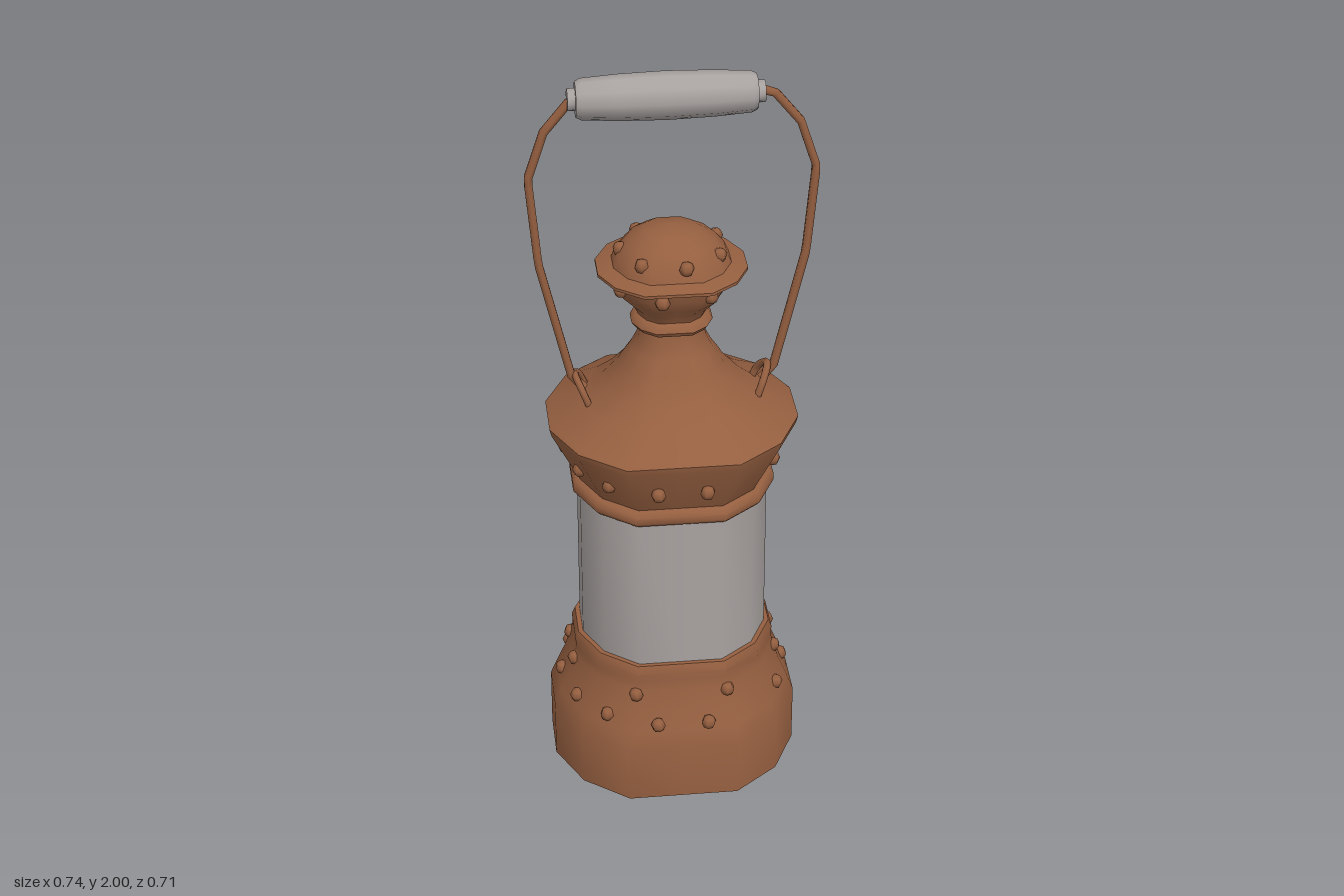
import * as THREE from 'three';
import { toCreasedNormals } from 'three/addons/utils/BufferGeometryUtils.js';

const SIDES = 14;
const STEP = (Math.PI * 2) / SIDES;
const V = (x, y, z) => new THREE.Vector3(x, y, z);

export function createModel() {
  const copper = new THREE.MeshStandardMaterial({ color: 0x955f40 });
  copper.name = 'copper';
  const grey = new THREE.MeshStandardMaterial({ color: 0xa8a2a0 });
  grey.name = 'pale grey';

  const model = new THREE.Group();
  model.name = 'lantern';
  // the lantern stands slightly turned
  const turned = new THREE.Group();
  turned.name = 'turnedLantern';
  turned.rotation.y = 0.18;
  turned.position.set(-0.004, 0, 0.03);
  model.add(turned);

  function add(name, geo, mat, parent = turned) {
    const mesh = new THREE.Mesh(geo, mat);
    mesh.name = name;
    parent.add(mesh);
    return mesh;
  }

  // lathe with a broad flat front and back: the middle corner is drawn in to the chord
  function body(name, profile, mat) {
    const geo = new THREE.LatheGeometry(profile.map(p => new THREE.Vector2(p[0], p[1])), SIDES);
    const pos = geo.attributes.position;
    for (let i = 0; i < pos.count; i++) {
      const column = Math.floor(i / profile.length) % (SIDES / 2);
      if (column === 0) pos.setZ(i, pos.getZ(i) * Math.cos(STEP));
    }
    return add(name, toCreasedNormals(geo, 0.75), mat);
  }

  body('base', [[0, 0], [0.34, 0], [0.34, 0.165], [0.322, 0.21], [0.298, 0.265], [0.281, 0.32],
    [0.275, 0.345], [0.277, 0.37], [0.268, 0.392], [0.24, 0.392]], copper);
  body('glass', [[0.255, 0.38], [0.255, 0.85]], grey);
  body('glassCollar', [[0.245, 0.835], [0.265, 0.835], [0.274, 0.845], [0.274, 0.862],
    [0.265, 0.875], [0.25, 0.88]], copper);
  body('hood', [[0.25, 0.87], [0.258, 0.885], [0.33, 1.025], [0.335, 1.045], [0.325, 1.052],
    [0.235, 1.1], [0.185, 1.14], [0.14, 1.19], [0.132, 1.205], [0.108, 1.24], [0.09, 1.275],
    [0.085, 1.31]], copper);
  body('neckRing', [[0.08, 1.305], [0.1, 1.31], [0.108, 1.322], [0.1, 1.338], [0.085, 1.345]], copper);
  body('chimney', [[0.085, 1.335], [0.1, 1.365], [0.13, 1.395], [0.15, 1.43], [0.16, 1.462],
    [0.197, 1.468], [0.197, 1.476], [0.155, 1.487], [0.143, 1.515], [0.115, 1.548],
    [0.07, 1.575], [0, 1.587]], copper);

  // rivets, given by angle in degrees from the front
  const rivet = new THREE.SphereGeometry(0.02, 6, 4);
  function rivets(name, angles, radius, y) {
    const row = new THREE.Group();
    row.name = name;
    for (const a of angles) {
      const t = THREE.MathUtils.degToRad(a);
      const m = add('rivet', rivet, copper, row);
      m.position.set(radius * Math.sin(t), y, radius * Math.cos(t));
      m.rotation.y = t;
    }
    turned.add(row);
  }
  const faces = [13, -13, -41, 64, -64, 90, -90, 116, -116, 139, 167, -167];
  const corners = [26, 77, 103, 154].flatMap(a => [a, -a]);
  const seven = Array.from({ length: 7 }, (_, i) => 11 + (i * 360) / 7);
  rivets('upperBaseRivets', corners, 0.281, 0.31);
  rivets('lowerBaseRivets', faces, 0.304, 0.235);
  rivets('hoodRivets', faces, 0.282, 0.95);
  rivets('domeRivets', seven, 0.131, 1.522);
  rivets('chimneyRivets', seven.map(a => a + 360 / 14), 0.147, 1.435);

  // carrying handle: wires and eyes mirrored left and right
  function tube(name, points, radius, segments) {
    return add(name, new THREE.TubeGeometry(
      new THREE.CatmullRomCurve3(points), segments, radius, 6), copper);
  }
  for (const [s, side] of [[1, 'left'], [-1, 'right']]) {
    const wire = new THREE.CurvePath();
    const pts = [[0.21, 1.943], [0.252, 1.94], [0.322, 1.855], [0.364, 1.73], [0.343, 1.49],
      [0.265, 1.16], [0.232, 1.125]].map(p => V(s * p[0] + 0.004, p[1], 0));
    for (let i = 1; i < pts.length; i++) wire.add(new THREE.LineCurve3(pts[i - 1], pts[i]));
    add(side + 'HandleWire', new THREE.TubeGeometry(wire, 36, 0.012, 6), copper);
    tube(side + 'HandleEye', [V(s * 0.215, 1.085, 0.055), V(s * 0.235, 1.135, 0.045),
      V(s * 0.253, 1.168, 0), V(s * 0.235, 1.135, -0.045), V(s * 0.215, 1.085, -0.055)], 0.01, 12);
  }
  const gripProfile = [[0, -0.246], [0.028, -0.246], [0.028, -0.226], [0.045, -0.226],
    [0.052, -0.212], [0.058, -0.12], [0.061, 0], [0.058, 0.12], [0.052, 0.212],
    [0.045, 0.226], [0.028, 0.226], [0.028, 0.246], [0, 0.246]];
  const grip = add('handleGrip', toCreasedNormals(new THREE.LatheGeometry(
    gripProfile.map(p => new THREE.Vector2(p[0], p[1])), 10), 0.75), grey);
  grip.rotation.z = -Math.PI / 2;
  grip.position.set(-0.012, 1.94, 0);

  // wick knob at the back
  const knob = new THREE.Group();
  knob.name = 'wickKnob';
  knob.position.set(0.177, 0.343, -0.322);
  knob.quaternion.setFromUnitVectors(V(0, 1, 0), V(0.46, 0, -0.89).normalize());
  const shaft = add('knobShaft', new THREE.CylinderGeometry(0.01, 0.01, 0.16, 6), copper, knob);
  shaft.position.y = -0.08;
  const disc = [[0, -0.012], [0.045, -0.012], [0.062, -0.006], [0.062, 0.008], [0.04, 0.013], [0, 0.014]];
  add('knobDisc', toCreasedNormals(new THREE.LatheGeometry(
    disc.map(p => new THREE.Vector2(p[0], p[1])), 8), 0.6), copper, knob);
  model.add(knob);

  return model;
}
